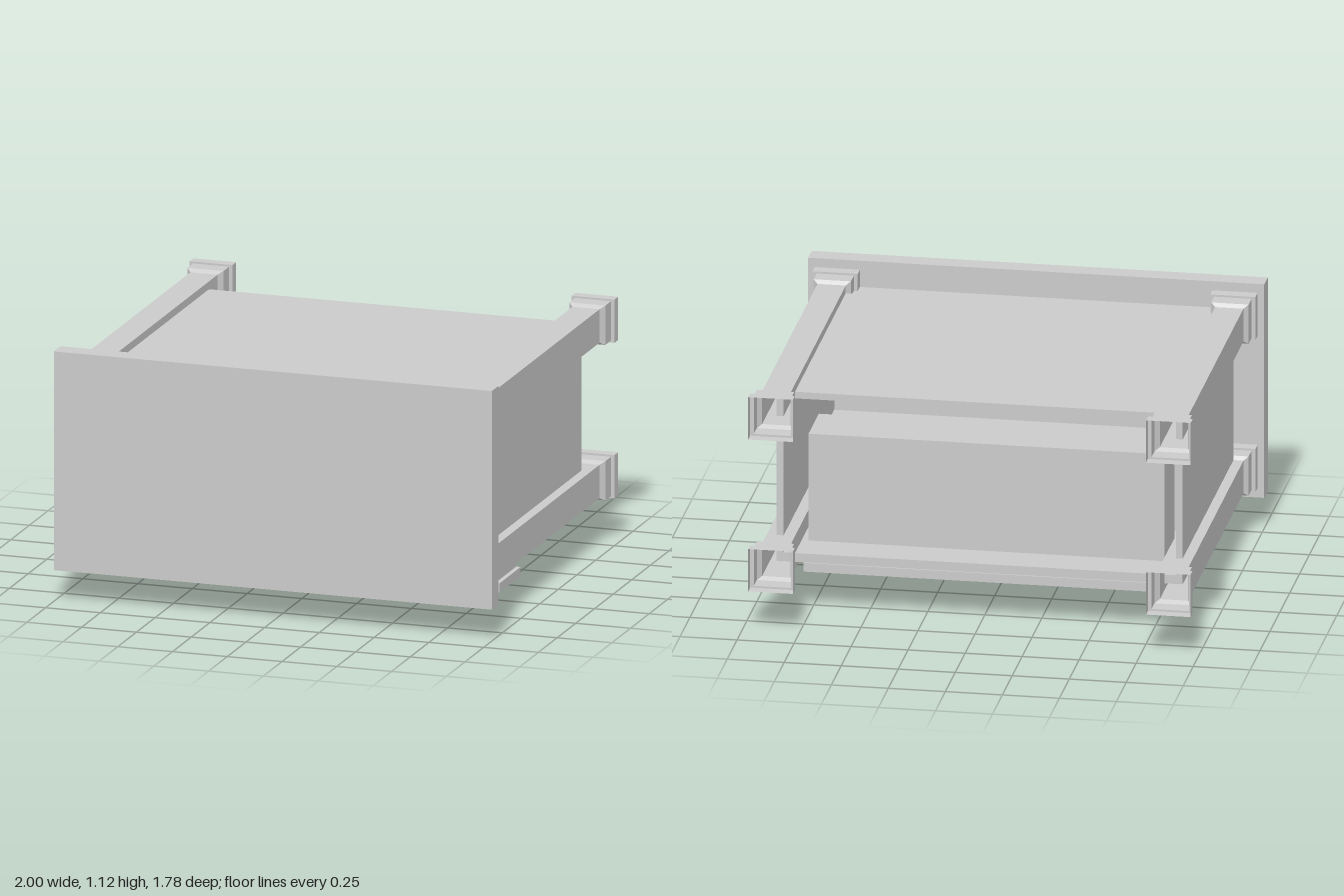
import * as THREE from 'three';

const mat = new THREE.MeshStandardMaterial({ color: 0xcccccc, flatShading: true, side: THREE.DoubleSide });

// box given by its limits on each axis
function box(parent, name, x0, x1, y0, y1, z0, z1) {
  const m = new THREE.Mesh(new THREE.BoxGeometry(x1 - x0, y1 - y0, z1 - z0), mat);
  m.position.set((x0 + x1) / 2, (y0 + y1) / 2, (z0 + z1) / 2);
  m.name = name;
  parent.add(m);
  return m;
}

// open rectangular tube along z; each section is [z, half width, half height]
function squareTube(sections) {
  const pts = sections.map(([z]) => new THREE.Vector2(1, z));
  const geo = new THREE.LatheGeometry(pts, 4, Math.PI / 4);
  const p = geo.attributes.position;
  for (let i = 0; i < p.count; i++) {
    const [z, hx, hy] = sections[i % sections.length];
    p.setXYZ(i, Math.sign(p.getX(i)) * hx, Math.sign(p.getZ(i)) * hy, z);
  }
  geo.computeVertexNormals();
  return geo;
}

// drawer that slides along y, open towards the table top (+z)
function drawer(index, frontY, z0, z1) {
  const g = new THREE.Group();
  g.name = 'drawer' + index;
  const y0 = frontY + 0.04, y1 = y0 + 0.59, w = 0.78, t = 0.05;
  box(g, 'drawerFront', -0.8, 0.8, frontY, y0, z0 - 0.012, z1 + 0.012);
  box(g, 'drawerBottom', -w, w, y0, y1, z0, z0 + 0.03);
  box(g, 'drawerInnerFront', -w, w, y0, y0 + t, z0 + 0.03, z1);
  box(g, 'drawerBack', -w, w, y1 - t, y1, z0 + 0.03, z1);
  for (const s of [-1, 1]) {
    const a = s * w, b = s * (w - t);
    box(g, 'drawerSide', Math.min(a, b), Math.max(a, b), y0 + t, y1 - t, z0 + 0.03, z1);
    const knob = new THREE.Mesh(new THREE.CylinderGeometry(0.024, 0.024, 0.022, 8), mat);
    knob.name = 'drawerKnob';
    knob.position.set(s * 0.345, frontY - 0.01, (z0 + z1) / 2);
    g.add(knob);
  }
  return g;
}

export function createModel() {
  const model = new THREE.Group();
  model.name = 'chestTable';

  // table top, standing upright at the front
  box(model, 'tableTop', -1, 1, 0.14, 1.12, 0.8, 0.89);

  // four hollow legs with stepped collars at both ends
  const legGeo = squareTube([
    [-0.89, 0.098, 0.097], [-0.84, 0.098, 0.097],
    [-0.84, 0.082, 0.088], [-0.765, 0.082, 0.088],
    [-0.745, 0.062, 0.075], [0.655, 0.062, 0.075],
    [0.67, 0.082, 0.09], [0.745, 0.082, 0.09],
    [0.745, 0.099, 0.099], [0.8, 0.099, 0.099],
  ]);
  for (const x of [-0.872, 0.872]) for (const y of [0.283, 0.98]) {
    const leg = new THREE.Mesh(legGeo, mat);
    leg.name = 'leg';
    leg.position.set(x, y, 0);
    model.add(leg);
  }

  // case: back panel (uppermost), sides and collar under the table top
  const cabinet = new THREE.Group();
  cabinet.name = 'case';
  model.add(cabinet);
  box(cabinet, 'backPanel', -0.87, 0.87, 0.99, 1.02, -0.63, 0.655);
  box(cabinet, 'sidePanel', 0.86, 0.89, 0.24, 1.02, -0.63, 0.655);
  box(cabinet, 'sidePanel', -0.89, -0.86, 0.24, 1.02, -0.63, 0.655);
  box(cabinet, 'collar', -0.86, 0.86, 0.27, 1.0, 0.655, 0.8);

  // front frame around the drawer openings
  for (const [z0, z1] of [[-0.63, -0.46], [-0.2, -0.07], [0.19, 0.33], [0.58, 0.655]])
    box(cabinet, 'frontRail', -0.86, 0.86, 0.24, 0.28, z0, z1);
  box(cabinet, 'frontStile', 0.78, 0.86, 0.24, 0.28, -0.46, 0.58);
  box(cabinet, 'frontStile', -0.86, -0.78, 0.24, 0.28, -0.46, 0.58);

  // three drawers pulled out by different amounts
  [[0.125, 0.33, 0.585], [0.021, -0.07, 0.19], [0.14, -0.46, -0.2]].forEach(
    ([y, z0, z1], i) => model.add(drawer(i + 1, y, z0, z1)));

  return model;
}
